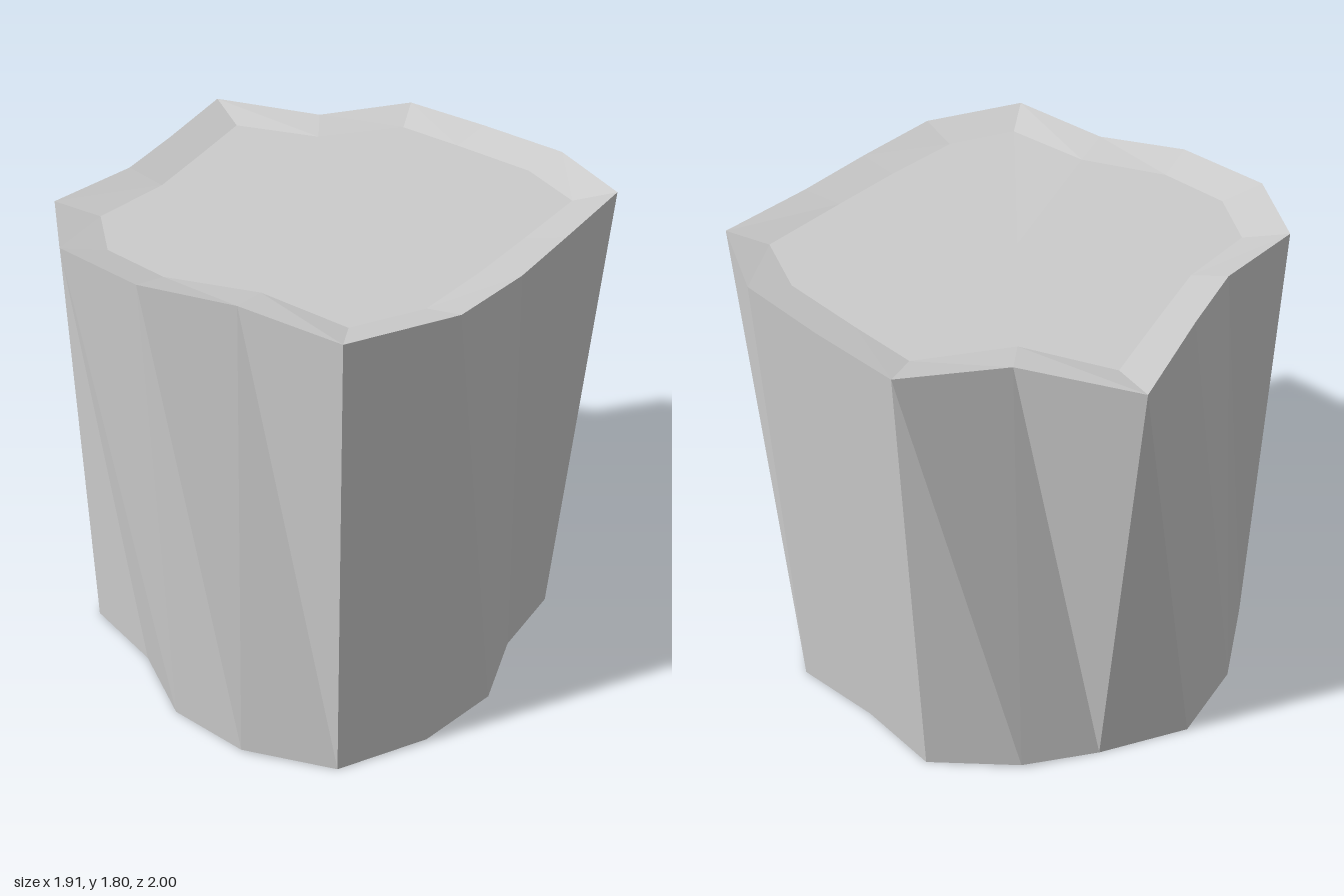
import * as THREE from 'three';

// Outlines as [x, z], running from the back point round through +x
const topRim = [
  [0, -1], [0.31, -0.7], [0.68, -0.64], [0.82, -0.31], [0.95, 0.04], [0.93, 0.43],
  [0.59, 0.64], [0.31, 0.82], [0, 0.985], [-0.4, 1], [-0.58, 0.63], [-0.82, 0.39],
  [-0.96, 0.04], [-0.87, -0.32], [-0.54, -0.49], [-0.31, -0.7]];
const topInner = [
  [0, -0.8], [0.24, -0.56], [0.58, -0.51], [0.68, -0.26], [0.8, 0.06], [0.8, 0.35],
  [0.49, 0.54], [0.24, 0.69], [-0.04, 0.84], [-0.31, 0.85], [-0.46, 0.53], [-0.7, 0.3],
  [-0.8, 0.04], [-0.74, -0.22], [-0.46, -0.38], [-0.25, -0.57]];
const baseRim = [
  [0, -0.78], [0.3, -0.74], [0.62, -0.58], [0.74, -0.27], [0.91, 0.04], [0.82, 0.39],
  [0.53, 0.58], [0.31, 0.81], [0, 0.9], [-0.36, 0.9], [-0.64, 0.68], [-0.78, 0.38],
  [-0.775, 0.05], [-0.86, -0.29], [-0.64, -0.6], [-0.36, -0.8]];

// Lift a flat outline to a height; inward notches get an extra offset
const notches = [1, 6, 7, 10];
const lift = (outline, y, notchOffset = 0) => outline.map(([x, z], i) =>
  [x, y + (notches.includes(i) ? notchOffset : 0), z]);
const shrink = (outline, s) => outline.map(([x, z]) => [x * s, z * s + 0.01]);
const centre = (z) => baseRim.map(() => [0, z]);

// Join successive cross-sections, from bottom to top, with triangles
function loft(rings) {
  const positions = [];
  const n = rings[0].length;
  for (let r = 0; r < rings.length - 1; r++) {
    const lower = rings[r], upper = rings[r + 1];
    for (let i = 0; i < n; i++) {
      const j = (i + 1) % n;
      if (r > 0) positions.push(...lower[j], ...lower[i], ...upper[j]);
      if (r < rings.length - 2) positions.push(...lower[i], ...upper[i], ...upper[j]);
    }
  }
  const geometry = new THREE.BufferGeometry();
  geometry.setAttribute('position', new THREE.Float32BufferAttribute(positions, 3));
  geometry.computeVertexNormals();
  return geometry;
}

export function createModel() {
  const group = new THREE.Group();
  group.name = 'rockPillar';

  // Faceted column with shallow dished ends
  const column = new THREE.Mesh(
    loft([
      lift(centre(0.02), 0.035),
      lift(shrink(baseRim, 0.82), 0.03),
      lift(baseRim, 0, 0.015),
      lift(topRim, 1.8, -0.012),
      lift(topInner, 1.76),
      lift(centre(0.04), 1.755),
    ]),
    new THREE.MeshStandardMaterial({ color: 0xcccccc, flatShading: true }));
  column.name = 'column';
  group.add(column);
  return group;
}
